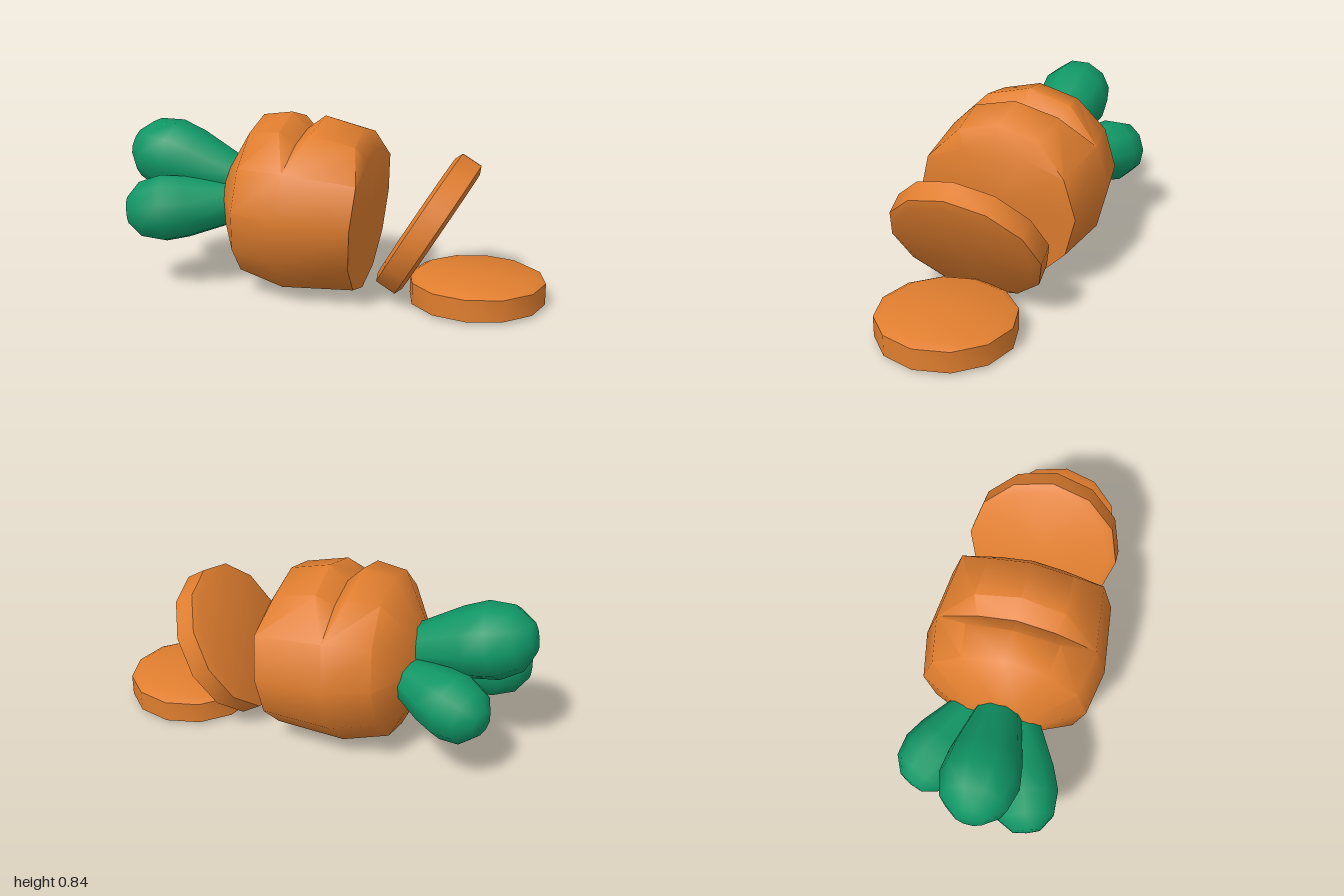
import * as THREE from 'three';
import { toCreasedNormals } from 'three/addons/utils/BufferGeometryUtils.js';

const orange = new THREE.MeshStandardMaterial({ color: 0xe07e2f });
orange.name = 'carrot orange';
const green = new THREE.MeshStandardMaterial({ color: 0x109766 });
green.name = 'leaf green';

const SIDES = 12;

function addMesh(group, name, geometry, material) {
  const mesh = new THREE.Mesh(geometry, material);
  mesh.name = name;
  group.add(mesh);
  return mesh;
}

// Body: tilted twelve-sided rings along x. "shift" and "grow" act only on the
// three topmost corners, which forms the notch and the bevel above the cut.
function bodyGeometry() {
  const rings = [
    { x: -0.485, y: 0.445, r: 0.16 },
    { x: -0.365, y: 0.445, r: 0.38 },
    { x: -0.15, y: 0.422, r: 0.422, shift: -0.08 },
    { x: -0.15, y: 0.422, r: 0.422, grow: -0.075 },
    { x: -0.15, y: 0.422, r: 0.422, shift: 0.08, grow: -0.01 },
    { x: 0.18, y: 0.4, r: 0.386, shift: -0.06 },
    { x: 0.18, y: 0.4, r: 0.386, grow: -0.095 },
  ];
  const points = rings.map(({ x, y, r, shift = 0, grow = 0 }) =>
    Array.from({ length: SIDES }, (_, j) => {
      const a = (j / SIDES) * Math.PI * 2;
      const w = j === 0 ? 1 : j === 1 || j === SIDES - 1 ? 0.9 : 0;
      const rad = r + grow * w;
      const up = rad * Math.cos(a);
      return new THREE.Vector3(x + up * 0.09 + shift * w, y + up * 0.996, rad * Math.sin(a));
    }));
  const data = [];
  const triangle = (a, b, c) => {
    if (new THREE.Triangle(a, b, c).getArea() > 1e-7) {
      for (const p of [a, b, c]) data.push(p.x, p.y, p.z);
    }
  };
  const last = rings.length - 1;
  const backCentre = new THREE.Vector3(rings[0].x, rings[0].y, 0);
  const cutCentre = new THREE.Vector3(rings[last].x, rings[last].y, 0);
  for (let j = 0; j < SIDES; j++) {
    const k = (j + 1) % SIDES;
    for (let i = 0; i < last; i++) {
      triangle(points[i][j], points[i][k], points[i + 1][j]);
      triangle(points[i][k], points[i + 1][k], points[i + 1][j]);
    }
    triangle(backCentre, points[0][k], points[0][j]);
    triangle(cutCentre, points[last][j], points[last][k]);
  }
  const geometry = new THREE.BufferGeometry();
  geometry.setAttribute('position', new THREE.Float32BufferAttribute(data, 3));
  return toCreasedNormals(geometry, 0.95);
}

// Turned solid around y from [radius, height] pairs
function turned(profile, sides, crease) {
  const points = profile.map(([r, h]) => new THREE.Vector2(r, h));
  return toCreasedNormals(new THREE.LatheGeometry(points, sides), crease);
}

// Leaf: a club shape running from its root to its tip
function addLeaf(group, name, root, tip, radius) {
  const start = new THREE.Vector3(...root);
  const along = new THREE.Vector3(...tip).sub(start);
  const length = along.length();
  const profile = [[0, 0], [0.52, 0], [0.92, 0.48], [1, 0.68], [0.83, 0.87], [0.4, 0.985], [0, 1]]
    .map(([r, t]) => [r * radius, t * length]);
  const leaf = addMesh(group, name, turned(profile, 10, 1.0), green);
  leaf.position.copy(start);
  leaf.quaternion.setFromUnitVectors(new THREE.Vector3(0, 1, 0), along.normalize());
}

export function createModel() {
  const model = new THREE.Group();
  model.name = 'slicedCarrot';

  addMesh(model, 'carrotBody', bodyGeometry(), orange);

  // Leaning slice, bevelled on both faces
  const leaning = addMesh(model, 'leaningSlice', turned([
    [0, -0.066], [0.322, -0.066], [0.36, -0.05], [0.36, 0.05], [0.322, 0.066], [0, 0.066],
  ], SIDES, 0.7), orange);
  leaning.position.set(0.46, 0.358, 0);
  leaning.rotation.z = -Math.atan2(0.855, -0.519);

  // Flat slice, bevelled on top
  const flat = addMesh(model, 'flatSlice', turned([
    [0, 0], [0.3125, 0], [0.3125, 0.1], [0.275, 0.12], [0, 0.12],
  ], SIDES, 0.7), orange);
  flat.position.set(0.6875, 0.015, 0);

  // Leaves
  const leaves = new THREE.Group();
  leaves.name = 'leaves';
  model.add(leaves);
  addLeaf(leaves, 'upperLeaf', [-0.42, 0.49, 0], [-0.985, 0.655, 0], 0.178);
  addLeaf(leaves, 'frontLeaf', [-0.42, 0.41, 0.08], [-0.94, 0.375, 0.24], 0.16);
  addLeaf(leaves, 'backLeaf', [-0.4, 0.41, -0.1], [-0.845, 0.365, -0.32], 0.155);

  return model;
}
